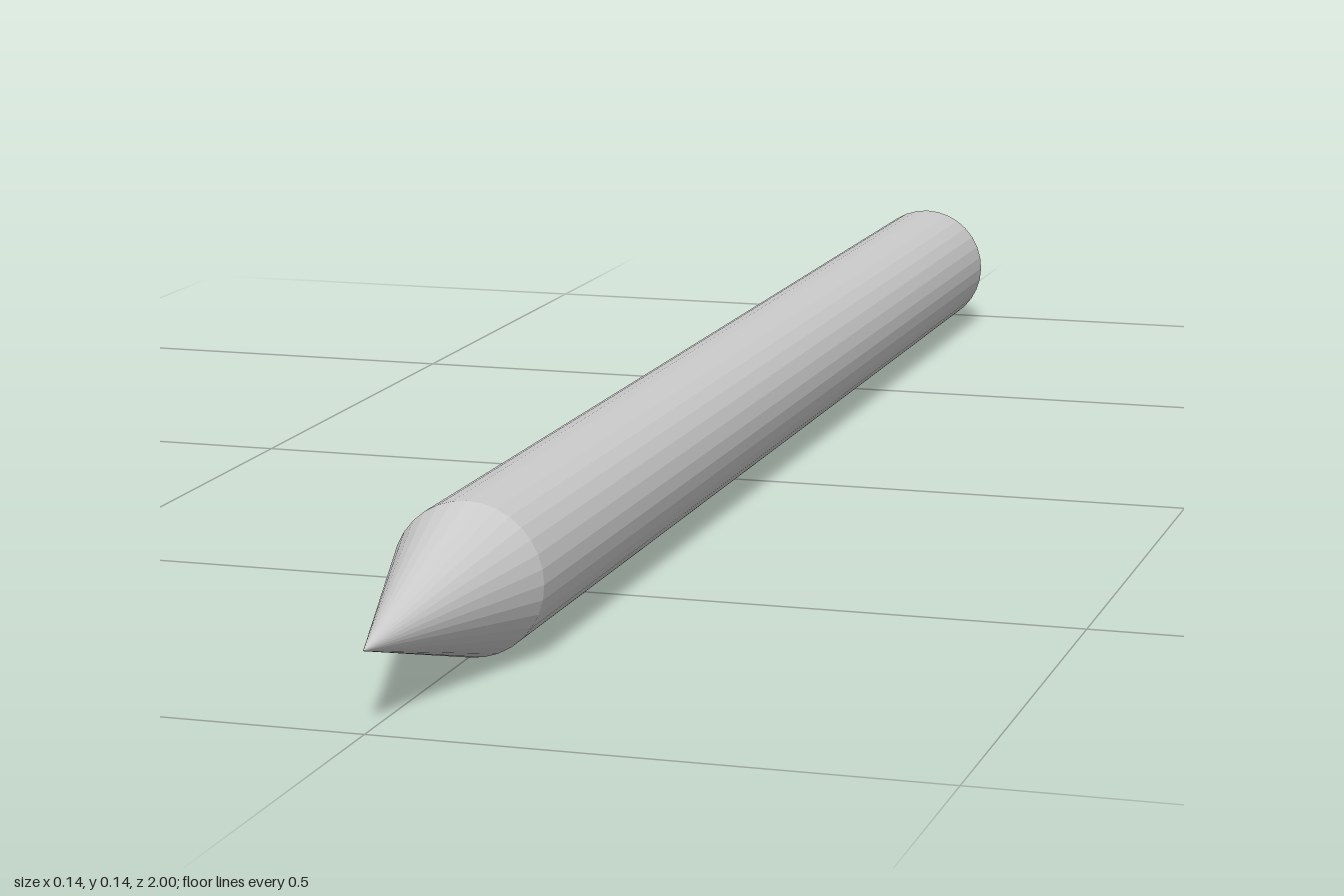
import * as THREE from 'three';

const SIDES = 32;
const RADIUS = 0.0705;

export function createModel() {
  const group = new THREE.Group();
  group.name = 'pencil';
  const material = new THREE.MeshStandardMaterial({ color: 0xcccccc, flatShading: true });

  // Round section lying along z, from zBack to zFront
  const addSection = (name, backRadius, frontRadius, zBack, zFront) => {
    const length = zFront - zBack;
    const geometry = frontRadius > 0
      ? new THREE.CylinderGeometry(frontRadius, backRadius, length, SIDES)
      : new THREE.ConeGeometry(backRadius, length, SIDES);
    geometry.rotateX(Math.PI / 2);
    const mesh = new THREE.Mesh(geometry, material);
    mesh.name = name;
    mesh.position.set(0, RADIUS, (zBack + zFront) / 2);
    group.add(mesh);
  };

  addSection('barrel', RADIUS, RADIUS, -0.95, 0.75);
  addSection('tip', RADIUS, 0, 0.75, 1);
  addSection('endButton', 0.049, 0.049, -1, -0.95);

  return group;
}
